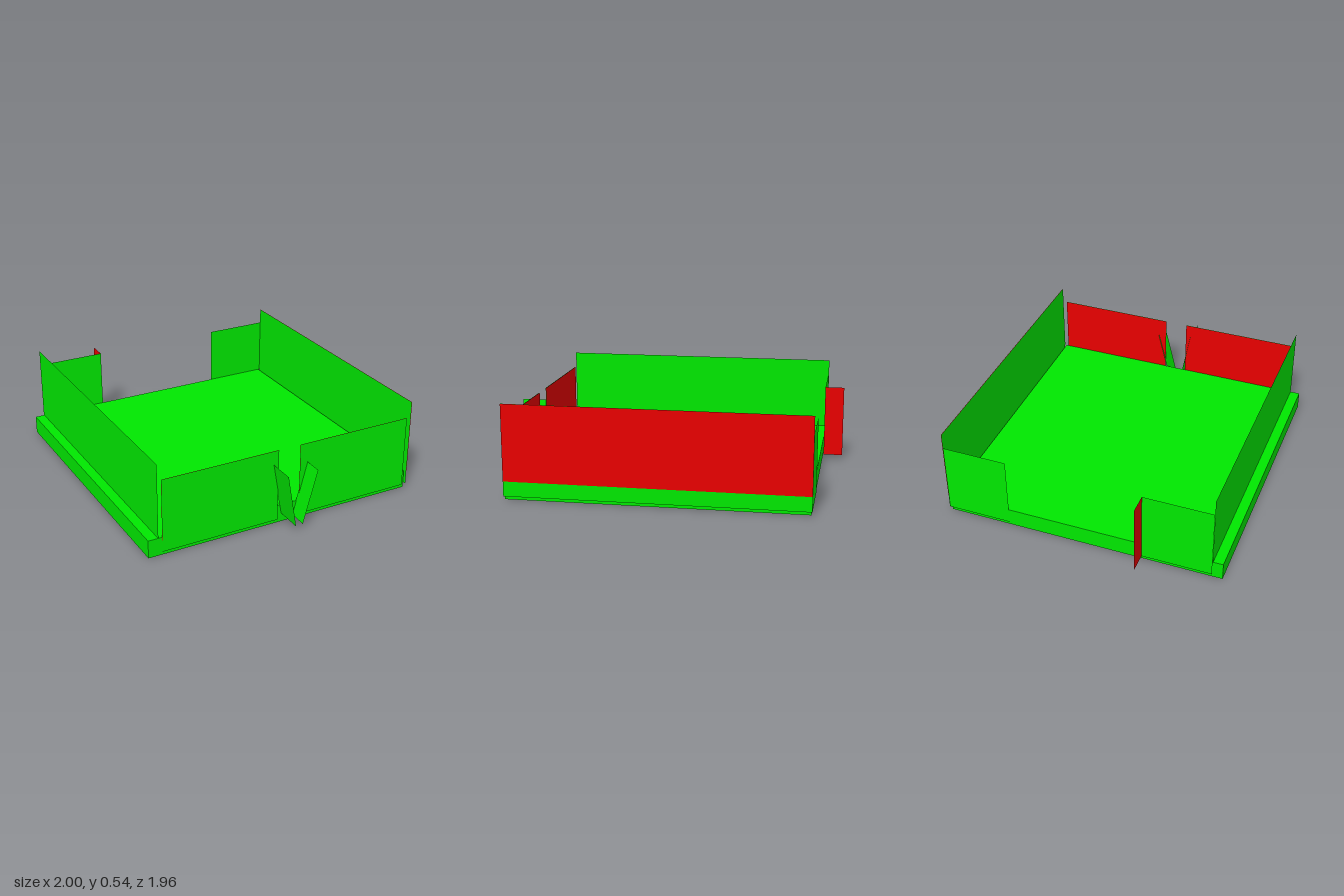
import * as THREE from 'three';

const green = new THREE.MeshStandardMaterial({ color: 0x00e800, side: THREE.DoubleSide });
const red = new THREE.MeshStandardMaterial({ color: 0xe80000, side: THREE.DoubleSide });

// One flat four-cornered sheet; corners run anticlockwise seen from its face
function sheet(name, corners, material = green) {
  const [a, b, c, d] = corners;
  const geo = new THREE.BufferGeometry();
  geo.setAttribute('position', new THREE.Float32BufferAttribute([a, b, c, a, c, d].flat(), 3));
  geo.computeVertexNormals();
  const mesh = new THREE.Mesh(geo, material);
  mesh.name = name;
  return mesh;
}

// Paper-thin panel: green on its face, red on its reverse just behind
function twoTone(name, corners) {
  const g = new THREE.Group();
  g.name = name;
  const face = sheet(name + 'Face', corners);
  const reverse = sheet(name + 'Reverse', [...corners].reverse(), red);
  const normal = new THREE.Vector3().fromBufferAttribute(reverse.geometry.attributes.normal, 0);
  reverse.position.copy(normal).multiplyScalar(0.003);
  g.add(face, reverse);
  return g;
}

// Corners of an upright panel running from (x0, z0) to (x1, z1); its face is on the right of that run
const upright = (x0, z0, x1, z1, y0, y1) =>
  [[x0, y0, z0], [x1, y0, z1], [x1, y1, z1], [x0, y1, z0]];

export function createModel() {
  const model = new THREE.Group();
  const room = new THREE.Group();
  room.name = 'room';
  room.rotation.y = -0.225;
  model.add(room);

  // Floor slab
  const floor = new THREE.Mesh(new THREE.BoxGeometry(1.66, 0.104, 1.612), green);
  floor.name = 'floorSlab';
  floor.position.set(0.004, 0.052, 0.008);
  room.add(floor);

  // Tall front and back walls, and the strip closing the slab under the back wall
  room.add(
    sheet('frontWall', upright(-0.835, 0.757, 0.837, 0.757, 0.104, 0.535)),
    twoTone('backWall', upright(-0.832, -0.81, 0.839, -0.81, 0.104, 0.535)),
    sheet('backSill', upright(-0.832, -0.812, 0.839, -0.812, 0.02, 0.104)),
  );

  // Lower side walls, each split by an opening
  const [low, high] = [0.02, 0.443];
  room.add(
    twoTone('rightFrontWall', upright(0.84, 0.735, 0.84, 0.045, low, high)),
    twoTone('rightBackWall', upright(0.84, -0.09, 0.84, -0.785, low, high)),
    sheet('leftBackWall', upright(-0.832, -0.81, -0.832, -0.435, low, high)),
    sheet('leftFrontWall', upright(-0.832, 0.355, -0.832, 0.755, low, high)),
  );

  // Open door on one side, red towards the front
  room.add(sheet('doorLeaf', upright(-0.832, 0.355, -0.945, 0.355, low, high), red));

  // Pair of leaning flaps by the other opening
  room.add(
    sheet('frontFlap', [[0.827, 0.05, 0.018], [0.992, 0.05, 0.02], [0.992, 0.363, 0.076], [0.836, 0.363, 0.075]]),
    sheet('backFlap', [[0.829, 0.02, -0.055], [0.944, 0.02, -0.053], [0.948, 0.33, -0.135], [0.831, 0.33, -0.137]]),
  );
  return model;
}
